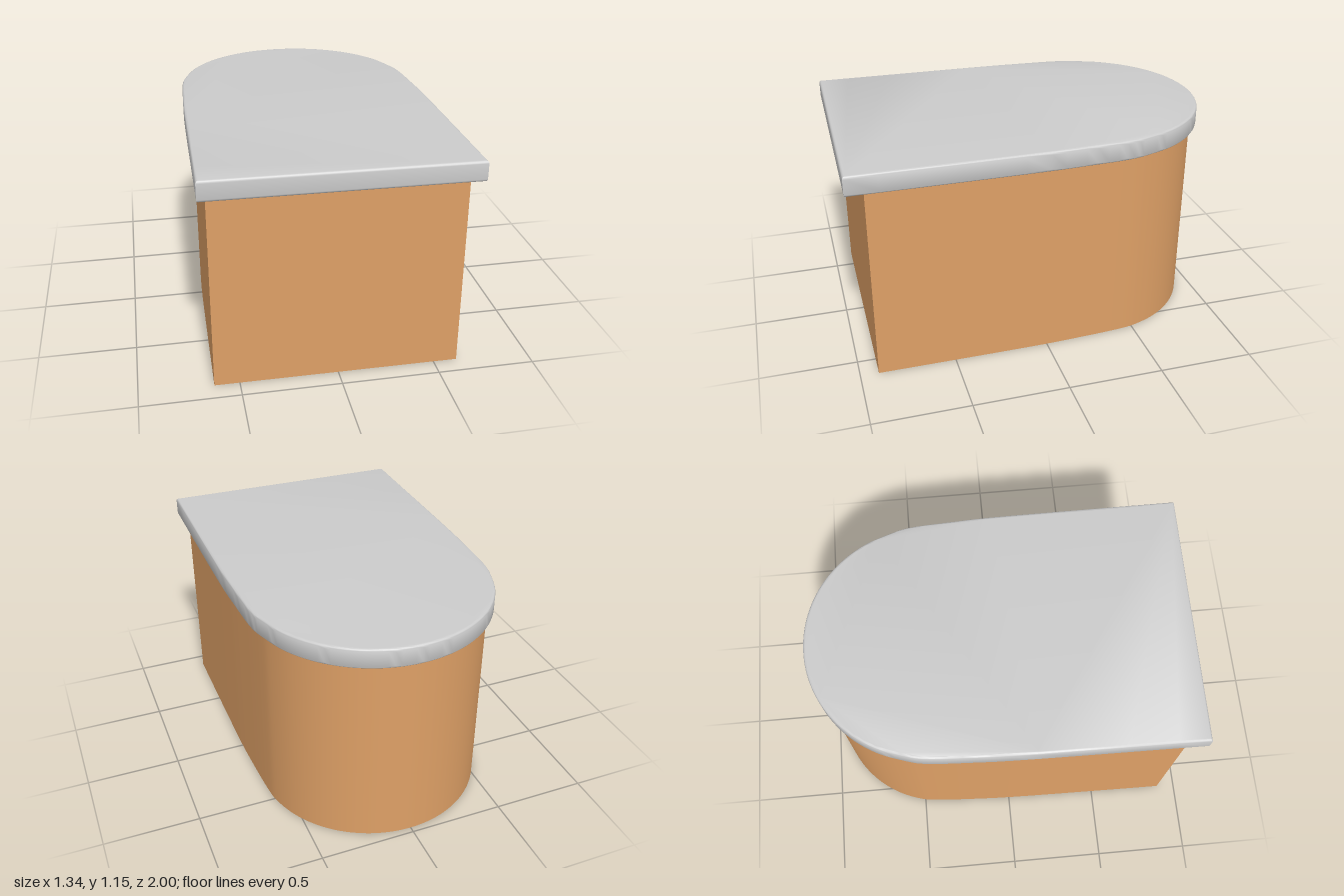
import * as THREE from 'three';
import { toCreasedNormals } from 'three/addons/utils/BufferGeometryUtils.js';

// D-shaped plan, straight in front and round at the back (shape y is -z)
function outline(inset, frontRight, frontLeft) {
  const side = [[0.658, 0.1], [0.648, -0.2], [0.634, -0.42]];
  const right = [], left = [];
  for (const [x, z] of side) {
    right.push(new THREE.Vector2(x + 0.004 - inset, -z));
    left.unshift(new THREE.Vector2(-x - 0.002 + inset, -z));
  }
  const radius = 0.63 - inset * 0.75, arc = [];
  for (let i = 0; i <= 12; i++) {
    const a = THREE.MathUtils.degToRad(15 + i * 12.5);
    arc.push(new THREE.Vector2(radius * Math.cos(a), 0.37 + radius * Math.sin(a)));
  }
  const shape = new THREE.Shape();
  shape.moveTo(-0.67 + inset, -frontRight);
  shape.lineTo(0.665 - inset, -frontLeft);
  shape.splineThru([...right, ...arc, ...left, new THREE.Vector2(-0.67 + inset, -frontRight)]);
  return shape;
}

export function createModel() {
  const model = new THREE.Group();

  // Lid: thin slab with softly rounded rims
  const bevel = 0.014, bottom = 1.042, top = 1.147;
  const lidGeometry = new THREE.ExtrudeGeometry(outline(0, 0.985, 1.0), {
    depth: top - bottom - 2 * bevel,
    bevelThickness: bevel, bevelSize: bevel, bevelOffset: -bevel, bevelSegments: 4, curveSegments: 4,
  });
  lidGeometry.rotateX(-Math.PI / 2).translate(0, bottom + bevel, 0);
  const lid = new THREE.Mesh(toCreasedNormals(lidGeometry, 0.6), new THREE.MeshStandardMaterial({ color: 0xcccccc }));
  lid.name = 'lid';
  model.add(lid);

  // Body: a single wall wrapped around the plan, open underneath
  const points = outline(0.043, 0.9, 0.905).getPoints(4);
  const wall = new THREE.PlaneGeometry(1, 1, points.length - 1, 1);
  const position = wall.attributes.position;
  for (let i = 0; i < position.count; i++) {
    const p = points[i % points.length];
    position.setXYZ(i, p.x, i < points.length ? bottom + 0.002 : 0, -p.y);
  }
  const body = new THREE.Mesh(
    toCreasedNormals(wall, 0.6),
    new THREE.MeshStandardMaterial({ color: 0xdea066, side: THREE.DoubleSide }),
  );
  body.name = 'body';
  model.add(body);

  return model;
}
